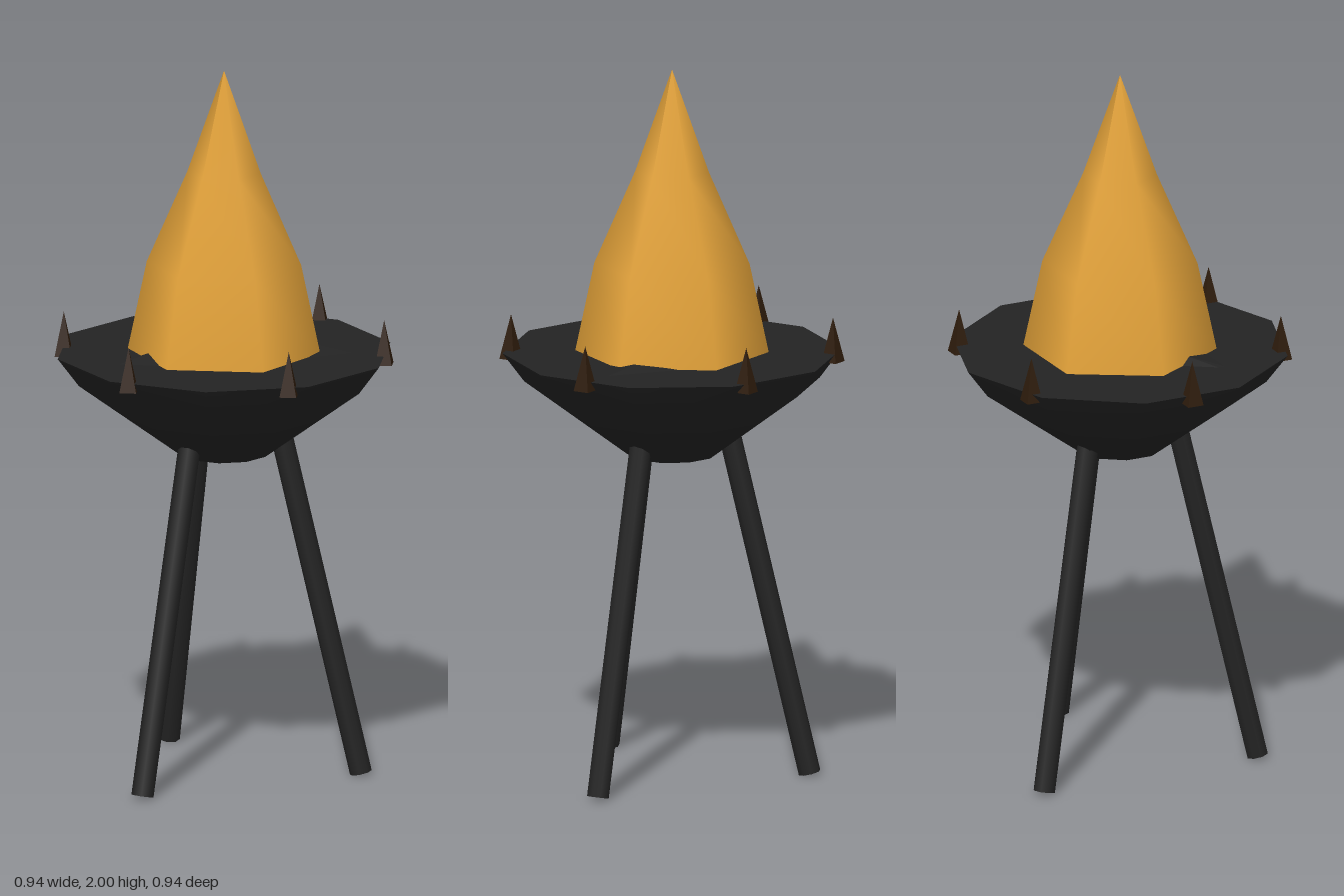
import * as THREE from 'three';
import { ConvexGeometry } from 'three/addons/geometries/ConvexGeometry.js';

const material = (name, color, extra = {}) => {
  const m = new THREE.MeshStandardMaterial({ color, ...extra });
  m.name = name;
  return m;
};

export function createModel() {
  const group = new THREE.Group();
  const iron = material('dark iron', 0x232323);
  const rust = material('dark rust', 0x2e1c0c, { flatShading: true });
  const fire = material('flame orange', 0xe0a038);

  const add = (name, geometry, mat) => {
    const mesh = new THREE.Mesh(geometry, mat);
    mesh.name = name;
    group.add(mesh);
    return mesh;
  };
  const lathe = (profile, sides, start = 0) =>
    new THREE.LatheGeometry(profile.map(([r, y]) => new THREE.Vector2(r, y)), sides, start);

  // Ten-sided bowl with a flat lid
  add('bowl', lathe([[0, 0.91], [0.125, 0.91], [0.41, 1.12], [0.47, 1.2]], 10), iron);
  add('bowlTop', new THREE.CircleGeometry(0.47, 10, Math.PI / 2).rotateX(-Math.PI / 2), iron).position.y = 1.2;

  // Low coal lumps barely rising above the lid
  const lump = (corners, peak) => add('coal', new ConvexGeometry([
    ...corners.map(([x, z]) => new THREE.Vector3(x, 1.19, z)),
    new THREE.Vector3(...peak),
  ]), iron);
  lump([[0.13, -0.22], [0.42, 0], [0.18, 0.14]], [0.25, 1.215, -0.04]);
  lump([[-0.32, 0.2], [-0.32, 0.23], [-0.1, 0.23], [-0.12, -0.1]], [-0.18, 1.22, 0.1]);

  // Six-sided flame
  add('flame', lathe([[0.27, 1.19], [0.215, 1.45], [0.102, 1.71], [0, 2]], 6, Math.PI / 2), fire);

  // Square spikes around the rim
  for (let i = 0; i < 6; i++) {
    const a = i * Math.PI / 3;
    const spike = new THREE.ConeGeometry(0.033, 0.125, 4).rotateY(Math.PI / 4);
    add('spike', spike, rust).position.set(0.446 * Math.cos(a), 1.2375, 0.446 * Math.sin(a));
  }

  // Three splayed legs
  for (let i = 0; i < 3; i++) {
    const a = i * Math.PI * 2 / 3;
    const at = (r, y) => new THREE.Vector3(r * Math.cos(a), y, r * Math.sin(a));
    const foot = at(0.381, 0.007), top = at(0.16, 0.965);
    const leg = add('leg', new THREE.CylinderGeometry(0.031, 0.031, foot.distanceTo(top), 8), iron);
    leg.position.copy(foot).add(top).multiplyScalar(0.5);
    leg.quaternion.setFromUnitVectors(new THREE.Vector3(0, 1, 0), top.sub(foot).normalize());
  }
  return group;
}
